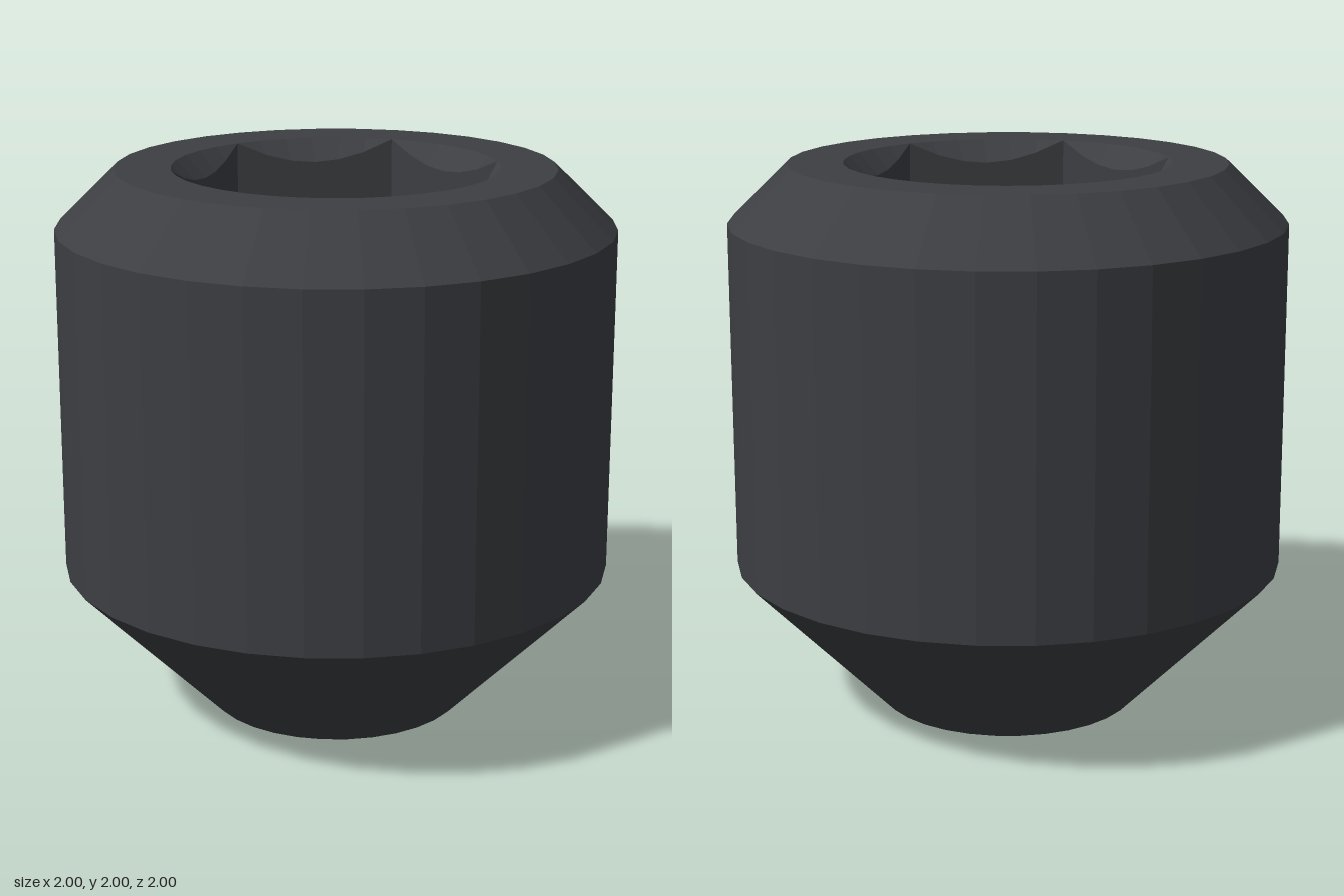
import * as THREE from 'three';

const TOP = 2, RIM = 0.785, SOCKET = 0.585, FLOOR = 1.2;
const SIDES = 32, PER_FLAT = 6;

// Points of a circle, starting on +x
function circle(radius, count) {
  return Array.from({ length: count }, (_, i) => {
    const a = (i / count) * Math.PI * 2;
    return new THREE.Vector2(Math.cos(a) * radius, Math.sin(a) * radius);
  });
}

// Hexagonal socket: 45 degree lead-in cone, six walls and a flat floor
function socketGeometry() {
  const count = 6 * PER_FLAT, apothem = SOCKET * Math.cos(Math.PI / 6);
  const pos = [], index = [];
  for (let row = 0; row < 4; row++) {
    for (let i = 0; i <= count; i++) {
      const a = (i / count) * Math.PI * 2;
      const fromMid = (((i % PER_FLAT) / PER_FLAT) - 0.5) * Math.PI / 3;
      const hex = apothem / Math.cos(fromMid);
      const r = [SOCKET, hex, hex, 0][row];
      const y = [TOP, TOP - (SOCKET - hex), FLOOR, FLOOR][row];
      pos.push(Math.cos(a) * r, y, -Math.sin(a) * r);
    }
  }
  for (let row = 0; row < 3; row++) {
    for (let i = 0; i < count; i++) {
      const a = row * (count + 1) + i, b = a + 1, c = a + count + 1, d = c + 1;
      index.push(a, b, c);
      if (row < 2) index.push(b, d, c);
    }
  }
  const indexed = new THREE.BufferGeometry();
  indexed.setAttribute('position', new THREE.Float32BufferAttribute(pos, 3));
  indexed.setIndex(index);
  const geometry = indexed.toNonIndexed();
  geometry.computeVertexNormals();
  return geometry;
}

export function createModel() {
  const group = new THREE.Group();
  group.name = 'setScrew';
  const material = new THREE.MeshStandardMaterial({
    color: 0x3c3e42, flatShading: true, side: THREE.DoubleSide,
  });
  const add = (name, geometry) => {
    const mesh = new THREE.Mesh(geometry, material);
    mesh.name = name;
    group.add(mesh);
    return mesh;
  };

  // Cup point, tapered tip, cylinder and top chamfer
  const profile = [[0, 0.26], [0.47, 0], [1, 0.535], [1, 1.79], [RIM, TOP]];
  add('body', new THREE.LatheGeometry(profile.map(([x, y]) => new THREE.Vector2(x, y)), SIDES));

  // Flat ring around the socket
  const ring = new THREE.Shape(circle(RIM, SIDES));
  ring.holes.push(new THREE.Path(circle(SOCKET, 6 * PER_FLAT)));
  const topFace = add('topFace', new THREE.ShapeGeometry(ring));
  topFace.rotation.x = -Math.PI / 2;
  topFace.position.y = TOP;

  add('hexSocket', socketGeometry());
  return group;
}
